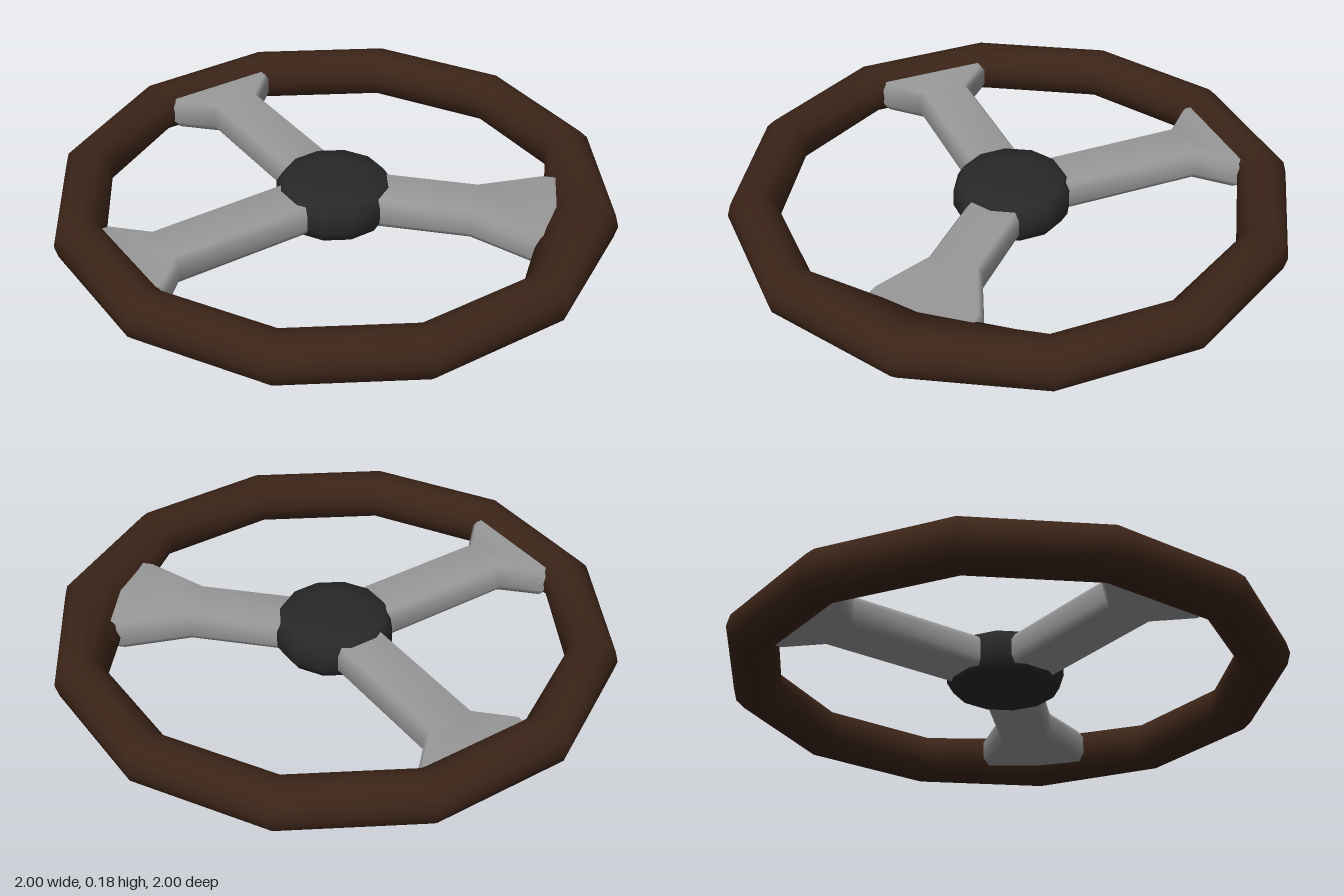
import * as THREE from 'three';

const MID = 0.09; // height of the wheel's middle plane

function mesh(name, geometry, color) {
  const m = new THREE.Mesh(geometry, new THREE.MeshStandardMaterial({ color }));
  m.name = name;
  m.position.y = MID;
  return m;
}

// Twelve-sided ring, thickened inwards where the side spoke joins
function rimGeometry() {
  const g = new THREE.TorusGeometry(0.91, 0.09, 12, 12).rotateX(Math.PI / 2);
  const p = g.attributes.position;
  for (let i = 0; i < p.count; i++) {
    const x = p.getX(i);
    if (Math.abs(p.getZ(i)) < 0.01 && x > 0 && x < 0.91) p.setX(i, 0.91 + (x - 0.91) * 1.85);
  }
  return g;
}

// Bevelled bar along +x, lofted through stations of [x, half width]; both ends are buried
function spokeGeometry(stations) {
  const h = 0.055, side = 0.03, bevel = 0.018;
  const section = w => [
    [w, -side], [w, side], [w - bevel, h], [-w + bevel, h],
    [-w, side], [-w, -side], [-w + bevel, -h], [w - bevel, -h],
  ];
  const n = 8, pos = [], idx = [];
  stations.forEach(([x, w], s) => {
    section(w).forEach(([z, y], k) => {
      pos.push(x, y, z);
      if (s === 0) return;
      const a = (s - 1) * n + k, b = (s - 1) * n + (k + 1) % n;
      idx.push(a, a + n, b, b, a + n, b + n);
    });
  });
  const g = new THREE.BufferGeometry();
  g.setAttribute('position', new THREE.Float32BufferAttribute(pos, 3));
  g.setIndex(idx);
  g.computeVertexNormals();
  return g;
}

export function createModel() {
  const group = new THREE.Group();
  group.name = 'steeringWheel';
  group.add(mesh('rim', rimGeometry(), 0x3b2418));

  // Hub: flat-topped disc with a rounded edge, same above and below
  const half = [[0.21, 0.03], [0.186, 0.071], [0.11, 0.09], [0, 0.09]];
  const profile = [
    ...half.map(([r, y]) => new THREE.Vector2(r, -y)).reverse(),
    ...half.map(([r, y]) => new THREE.Vector2(r, y)),
  ];
  group.add(mesh('hub', new THREE.LatheGeometry(profile, 12), 0x282828));

  // One spoke along +x with a long flare, two diagonal ones with short flares
  const longFlare = [[0.05, 0.1], [0.5, 0.1], [0.72, 0.2], [0.8, 0.2]];
  const shortFlare = [[0.05, 0.1], [0.68, 0.1], [0.79, 0.21], [0.85, 0.21]];
  [['sideSpoke', longFlare, 0], ['backSpoke', shortFlare, 135], ['frontSpoke', shortFlare, 225]]
    .forEach(([name, stations, deg]) => {
      const spoke = mesh(name, spokeGeometry(stations), 0x999999);
      spoke.rotation.y = THREE.MathUtils.degToRad(deg);
      group.add(spoke);
    });

  return group;
}
